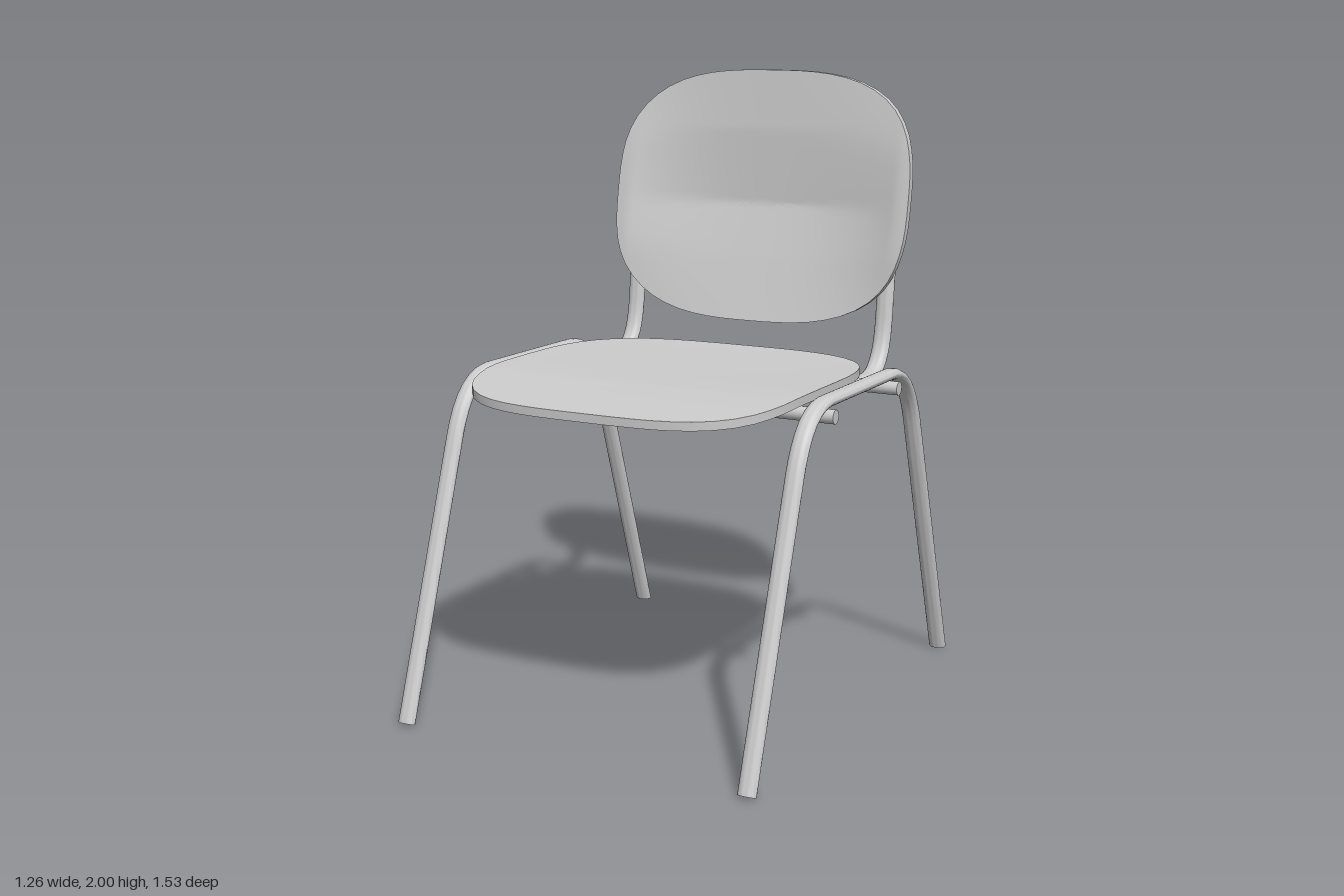
import * as THREE from 'three';
import { toCreasedNormals } from 'three/addons/utils/BufferGeometryUtils.js';

const material = new THREE.MeshStandardMaterial({ color: 0xcccccc });

function addMesh(parent, name, geometry, x = 0, y = 0, z = 0) {
  const mesh = new THREE.Mesh(geometry, material);
  mesh.name = name;
  mesh.position.set(x, y, z);
  parent.add(mesh);
  return mesh;
}

// Piecewise-linear lookup in [position, value] stations
function sample(stations, p) {
  let i = 1;
  while (i < stations.length - 1 && p > stations[i][0]) i++;
  const [a, va] = stations[i - 1], [b, vb] = stations[i];
  return va + (vb - va) * THREE.MathUtils.clamp((p - a) / (b - a), 0, 1);
}

// Thin rounded-square shell: concentric rings on both faces, joined by a rim.
// place(u, v, side) maps the unit outline to space; side 0 = face, 1 = reverse.
function panel(place, power, rings = 20, sides = 64) {
  const positions = [], index = [];
  const start = [0, 0];
  for (const side of [0, 1]) {
    start[side] = positions.length / 3;
    for (let r = 0; r <= rings; r++) {
      for (let s = 0; s < sides; s++) {
        const a = (s / sides) * Math.PI * 2;
        const c = Math.cos(a), d = Math.sin(a);
        const k = (r / rings) / Math.pow(Math.abs(c) ** power + Math.abs(d) ** power, 1 / power);
        positions.push(...place(c * k, d * k, side));
      }
    }
    for (let r = 0; r < rings; r++) {
      for (let s = 0; s < sides; s++) {
        const n = (s + 1) % sides;
        const a = start[side] + r * sides + s, b = start[side] + r * sides + n;
        const c = b + sides, d = a + sides;
        const quad = r === 0 ? [a, d, c] : [a, d, c, a, c, b];
        index.push(...(side ? quad.reverse() : quad));
      }
    }
  }
  for (let s = 0; s < sides; s++) {
    const n = (s + 1) % sides, f = start[0] + rings * sides, g = start[1] + rings * sides;
    index.push(f + s, g + s, g + n, f + s, g + n, f + n);
  }
  const geometry = new THREE.BufferGeometry();
  geometry.setAttribute('position', new THREE.Float32BufferAttribute(positions, 3));
  geometry.setIndex(index);
  return toCreasedNormals(geometry, 0.7);
}

// Capped oval tube along a path in the side plane, wider across x
function ovalTube(path, steps) {
  const circle = new THREE.Shape().absarc(0, 0, 0.018, 0, Math.PI * 2);
  const geometry = new THREE.ExtrudeGeometry(circle, { extrudePath: path, steps, curveSegments: 14 });
  geometry.scale(1.65, 1, 1);
  geometry.deleteAttribute('normal');
  return toCreasedNormals(geometry, 0.7);
}

const point = (z, y) => new THREE.Vector3(0, y, z);

export function createModel() {
  const chair = new THREE.Group();
  chair.name = 'chair';

  // Seat: flat, slightly dished, dropping at the front edge
  const seatHeight = [[-0.39, 1.085], [0.2, 1.083], [0.32, 1.08], [0.45, 1.065], [0.65, 1.037]];
  addMesh(chair, 'seat', panel((u, v, side) => {
    const z = 0.13 - 0.515 * v;
    const dish = 0.008 * (1 - u * u) * (1 - v * v);
    return [0.55 * u, sample(seatHeight, z) - dish - 0.027 * side, z];
  }, 3.5));

  // Backrest: leaning shell, hollowed in the middle
  const edgeDepth = [[1.16, -0.44], [1.4, -0.465], [1.75, -0.53], [2, -0.595]];
  const hollowDepth = [[1.16, -0.44], [1.37, -0.505], [1.55, -0.565], [1.8, -0.572], [2, -0.595]];
  addMesh(chair, 'backrest', panel((u, v, side) => {
    const y = 1.58 + 0.42 * v;
    const hollow = Math.max(0, 1 - Math.abs(u / 0.92) ** 2.5);
    const z = THREE.MathUtils.lerp(sample(edgeDepth, y), sample(hollowDepth, y), hollow);
    return [0.547 * u, y, z - 0.027 * side];
  }, 2.9, 28));

  // Side frame path: front leg, rounded knee, rail, rounded knee, back leg
  const framePath = new THREE.CurvePath();
  framePath.add(new THREE.LineCurve3(point(0.75, 0.006), point(0.455, 0.87)));
  framePath.add(new THREE.QuadraticBezierCurve3(point(0.455, 0.87), point(0.39, 1.06), point(0.24, 1.06)));
  framePath.add(new THREE.LineCurve3(point(0.24, 1.06), point(-0.24, 1.06)));
  framePath.add(new THREE.QuadraticBezierCurve3(point(-0.24, 1.06), point(-0.39, 1.06), point(-0.455, 0.87)));
  framePath.add(new THREE.LineCurve3(point(-0.455, 0.87), point(-0.75, 0.006)));

  // Backrest support path: from the rear crossbar, bending up behind the shell
  const supportPath = new THREE.CurvePath();
  supportPath.add(new THREE.LineCurve3(point(-0.26, 1.018), point(-0.36, 1.018)));
  supportPath.add(new THREE.QuadraticBezierCurve3(point(-0.36, 1.018), point(-0.475, 1.02), point(-0.495, 1.2)));
  supportPath.add(new THREE.LineCurve3(point(-0.495, 1.2), point(-0.515, 1.37)));
  supportPath.add(new THREE.LineCurve3(point(-0.515, 1.37), point(-0.553, 1.605)));

  const frameGeometry = ovalTube(framePath, 70);
  const supportGeometry = ovalTube(supportPath, 30);
  for (const [side, sign] of [['left', 1], ['right', -1]]) {
    addMesh(chair, side + 'LegFrame', frameGeometry, sign * 0.595);
    addMesh(chair, side + 'BackSupport', supportGeometry, sign * 0.472);
  }

  // Crossbars under the seat
  const barGeometry = new THREE.CylinderGeometry(0.022, 0.022, 1.26, 20).rotateZ(Math.PI / 2);
  addMesh(chair, 'frontCrossbar', barGeometry, 0, 1.016, 0.245);
  addMesh(chair, 'rearCrossbar', barGeometry, 0, 1.016, -0.25);

  return chair;
}
